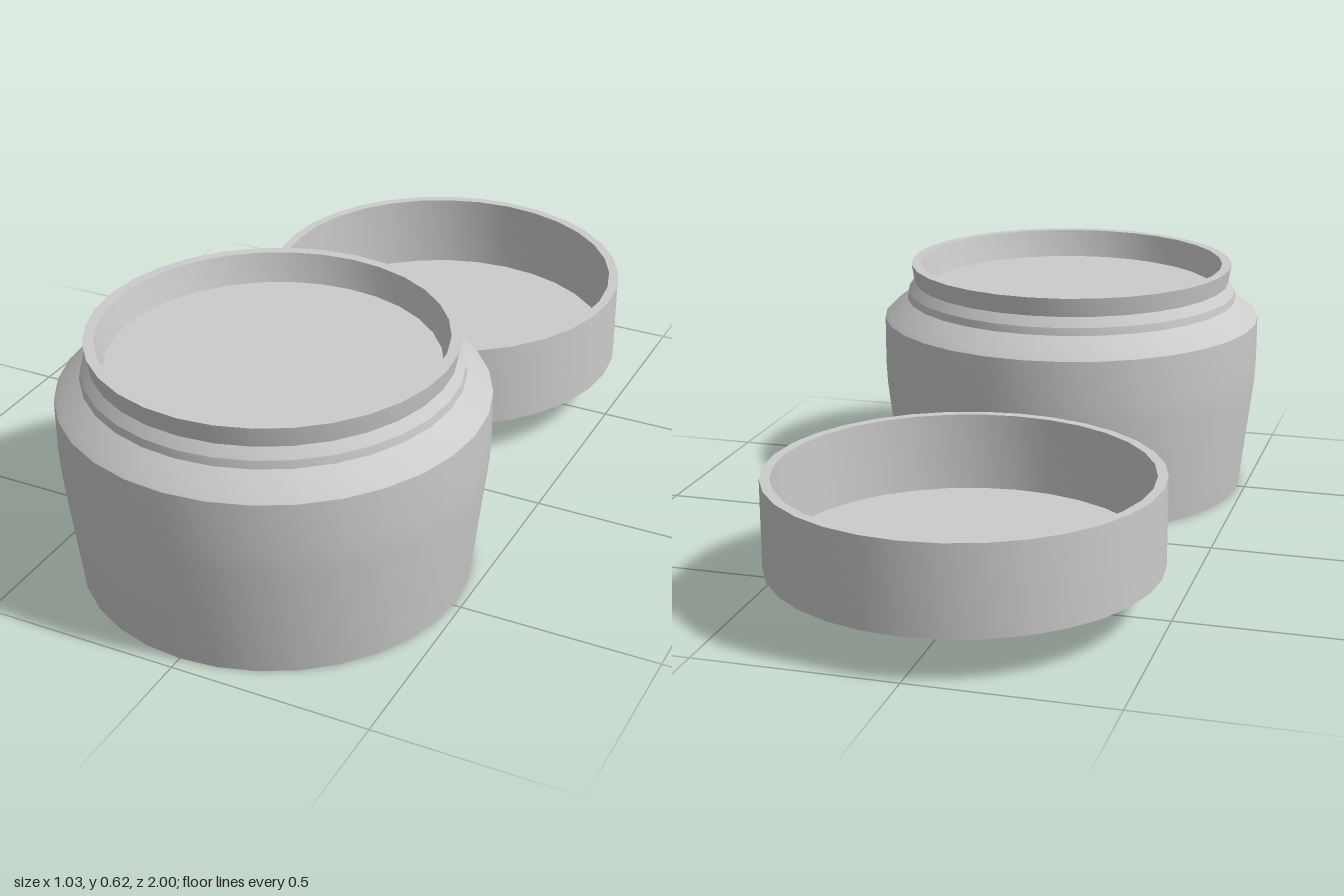
import * as THREE from 'three';
import { toCreasedNormals } from 'three/addons/utils/BufferGeometryUtils.js';

const SEGMENTS = 32;
const material = new THREE.MeshStandardMaterial({ color: 0xcccccc });

// Turned part from [radius, height] pairs, listed from the bottom centre outwards and up
function turned(name, profile, z) {
  const points = profile.map(([r, y]) => new THREE.Vector2(r, y));
  const geometry = toCreasedNormals(new THREE.LatheGeometry(points, SEGMENTS), 0.4);
  const mesh = new THREE.Mesh(geometry, material);
  mesh.name = name;
  mesh.position.z = z;
  return mesh;
}

export function createModel() {
  const group = new THREE.Group();
  group.name = 'jarWithLid';

  // Jar: tapered body, sloped shoulder, neck bead and flared rim
  group.add(turned('jar', [
    [0, 0], [0.48, 0], [0.514, 0.29], [0.517, 0.35], [0.517, 0.473],
    [0.505, 0.485], [0.455, 0.525], [0.452, 0.545], [0.434, 0.57],
    [0.442, 0.62], [0.416, 0.62], [0.4, 0.545],
  ], 0.483));

  // Contents: flat surface just below the rim
  const contents = new THREE.Mesh(new THREE.CircleGeometry(0.4, SEGMENTS), material);
  contents.name = 'contents';
  contents.rotation.x = -Math.PI / 2;
  contents.position.set(0, 0.545, 0.483);
  group.add(contents);

  // Lid: upturned shallow cup behind the jar
  group.add(turned('lid', [
    [0, 0.11], [0.48, 0.11], [0.48, 0.332], [0.455, 0.332], [0.455, 0.133], [0, 0.133],
  ], -0.52));

  return group;
}
